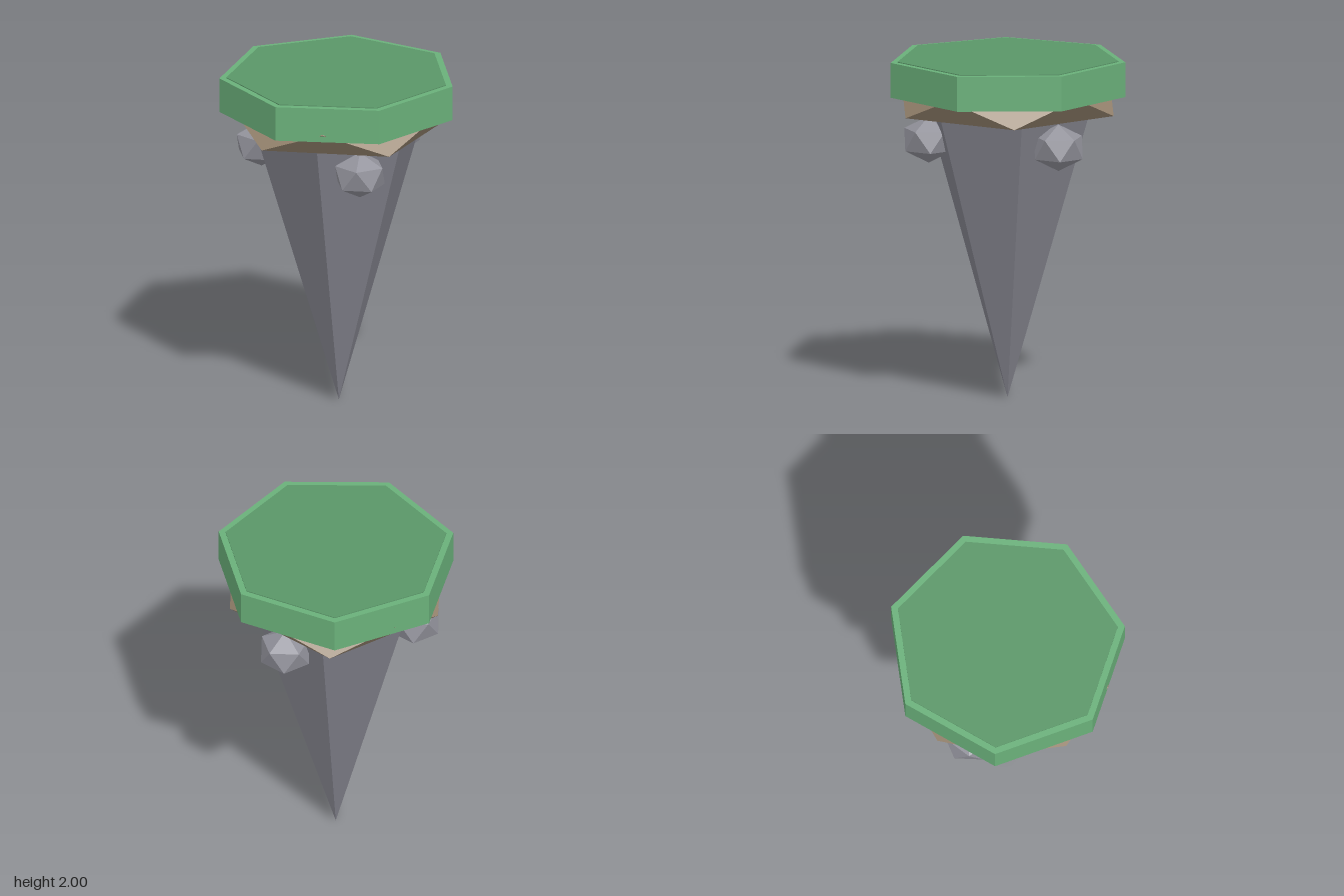
import * as THREE from 'three';

const mat = (color) => new THREE.MeshStandardMaterial({ color, flatShading: true });

// Icosahedron standing on a point, stretched to the given radius and half height
function standingIco(radius, halfHeight) {
  const geo = new THREE.IcosahedronGeometry(1, 0);
  geo.rotateZ(-Math.atan2(2, 1 + Math.sqrt(5)));
  geo.scale(radius, halfHeight, radius);
  geo.computeVertexNormals();
  return geo;
}

export function createModel() {
  const group = new THREE.Group();
  const centreZ = 0.033;
  const rock = mat(0x83838d);
  const stoneMat = mat(0x92929b);

  function add(name, geo, material, x, y, z) {
    const mesh = new THREE.Mesh(geo, material);
    mesh.name = name;
    mesh.position.set(x, y, z + centreZ);
    group.add(mesh);
    return mesh;
  }

  // Hanging six-sided rock spike, its top buried in the soil
  const spikeTop = 1.74;
  const spike = new THREE.ConeGeometry(0.298 * spikeTop, spikeTop, 6);
  spike.rotateX(Math.PI);
  add('rockSpike', spike, rock, 0, spikeTop / 2, 0);

  // Flattened soil layer
  add('soil', standingIco(0.71, 0.17), mat(0x97856f), 0, 1.757, 0);

  // Seven-sided grass slab with a thin, slightly raised inner lawn
  const slab = new THREE.CylinderGeometry(0.697, 0.697, 0.205, 7);
  add('grassSlab', slab.rotateY(Math.PI), mat(0x6ab07a), 0, 1.8925, 0);
  const lawn = new THREE.CylinderGeometry(0.656, 0.656, 0.02, 7);
  add('grassTop', lawn.rotateY(Math.PI), mat(0x5a9668), 0, 1.99, 0);

  // Three stones stuck around the spike
  for (let i = 0; i < 3; i++) {
    const a = (i * Math.PI * 2) / 3;
    add('stone' + (i + 1), standingIco(0.163, 0.137), stoneMat, 0.463 * Math.cos(a), 1.53, 0.463 * Math.sin(a));
  }

  return group;
}
